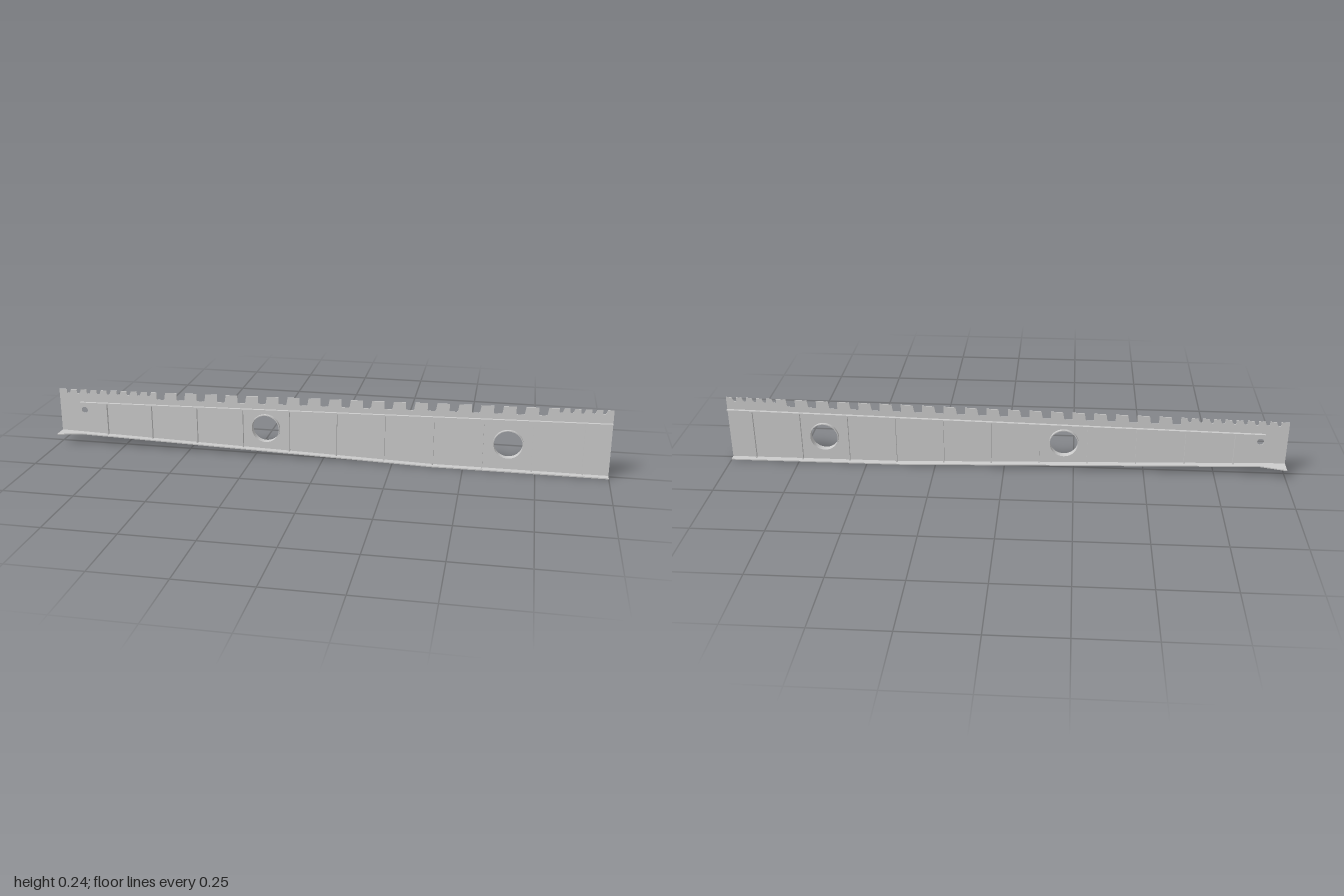
import * as THREE from 'three';

const mat = new THREE.MeshStandardMaterial({ color: 0xcccccc, flatShading: true, side: THREE.DoubleSide });
const WEB = 0.003, PLATE = 0.004, RIB = 0.012;

// Long edges of the tapering girder
const topY = x => 0.222 + 0.02 * x;
const railY = x => 0.175 + 0.02 * x;
const baseY = x => (x < 0.39 ? 0.038 * (0.39 - x) / 1.39 : 0);

function add(group, geometry, name) {
  const mesh = new THREE.Mesh(geometry, mat);
  mesh.name = name;
  group.add(mesh);
  return mesh;
}

// Thin plate running through stations along x, with a half width and height at each
function strip(stations, halfWidth, height) {
  const n = stations.length - 1;
  const g = new THREE.BoxGeometry(n, PLATE, 2, n, 1, 1);
  const p = g.attributes.position;
  for (let i = 0; i < p.count; i++) {
    const x = stations[Math.round(p.getX(i) + n / 2)];
    p.setXYZ(i, x, height(x) + PLATE / 2 + p.getY(i), p.getZ(i) * halfWidth(x));
  }
  g.computeVertexNormals();
  return g;
}

// Web plate with notched top edge and round openings
function webGeometry(openings) {
  const s = new THREE.Shape();
  s.moveTo(-1, baseY(-1));
  s.lineTo(0.39, 0);
  s.lineTo(1, 0);
  s.lineTo(1, topY(1));
  const notches = [];
  for (let i = 0; i < 9; i++) notches.push([-0.965 + i * 0.039, 0.012, 0.015]);
  for (let i = 0; i < 19; i++) notches.push([-0.608 + i * 0.0763, 0.029, 0.028]);
  for (let i = 0; i < 5; i++) notches.push([0.825 + i * 0.036, 0.012, 0.015]);
  for (const [x, w, d] of notches.reverse()) {
    const y = topY(x);
    s.lineTo(x + w / 2 + 0.004, y);
    s.lineTo(x + w / 2, y - d + 0.004);
    s.lineTo(x + w / 2 - 0.004, y - d);
    s.lineTo(x - w / 2 + 0.002, y - d);
    s.lineTo(x - w / 2, y - d + 0.004);
    s.lineTo(x - w / 2, y);
  }
  s.lineTo(-1, topY(-1));
  for (const [x, y, r] of openings) {
    s.holes.push(new THREE.Path().absarc(x, y, r, 0, Math.PI * 2, true));
  }
  const g = new THREE.ExtrudeGeometry(s, { depth: WEB, bevelEnabled: false, curveSegments: 24 });
  return g.translate(0, 0, -WEB / 2);
}

export function createModel() {
  const model = new THREE.Group();
  model.name = 'taperedGirder';

  const manholes = [[-0.213, 0.099, 0.05], [0.653, 0.097, 0.05]];
  add(model, webGeometry([...manholes, [-0.906, 0.125, 0.012]]), 'webPlate');

  // Bottom flange, flaring at the shallow end
  add(model, strip([-1, -0.91, 0.39, 1], x => (x < -0.95 ? 0.053 : 0.024), baseY), 'bottomFlange');

  // Longitudinal rail under the notches
  add(model, strip([-0.92, 1], () => RIB, x => railY(x) - PLATE), 'upperRail');

  // Collars lining the large openings
  for (const [x, y, r] of manholes) {
    const ring = new THREE.Shape().absarc(0, 0, r + 0.003, 0, Math.PI * 2);
    ring.holes.push(new THREE.Path().absarc(0, 0, r, 0, Math.PI * 2, true));
    const g = new THREE.ExtrudeGeometry(ring, { depth: 2 * RIB, bevelEnabled: false, curveSegments: 24 });
    add(model, g.translate(x, y, -RIB), 'openingCollar');
  }

  // Evenly spaced vertical stiffeners on both faces
  for (let i = 0; i < 11; i++) {
    const x = -0.817 + i * 0.1728;
    const y0 = baseY(x) + PLATE / 2, y1 = railY(x) - PLATE / 2;
    for (const side of [-1, 1]) {
      const g = new THREE.BoxGeometry(PLATE, y1 - y0, RIB);
      add(model, g, 'stiffener').position.set(x, (y0 + y1) / 2, side * RIB / 2);
    }
  }
  return model;
}
